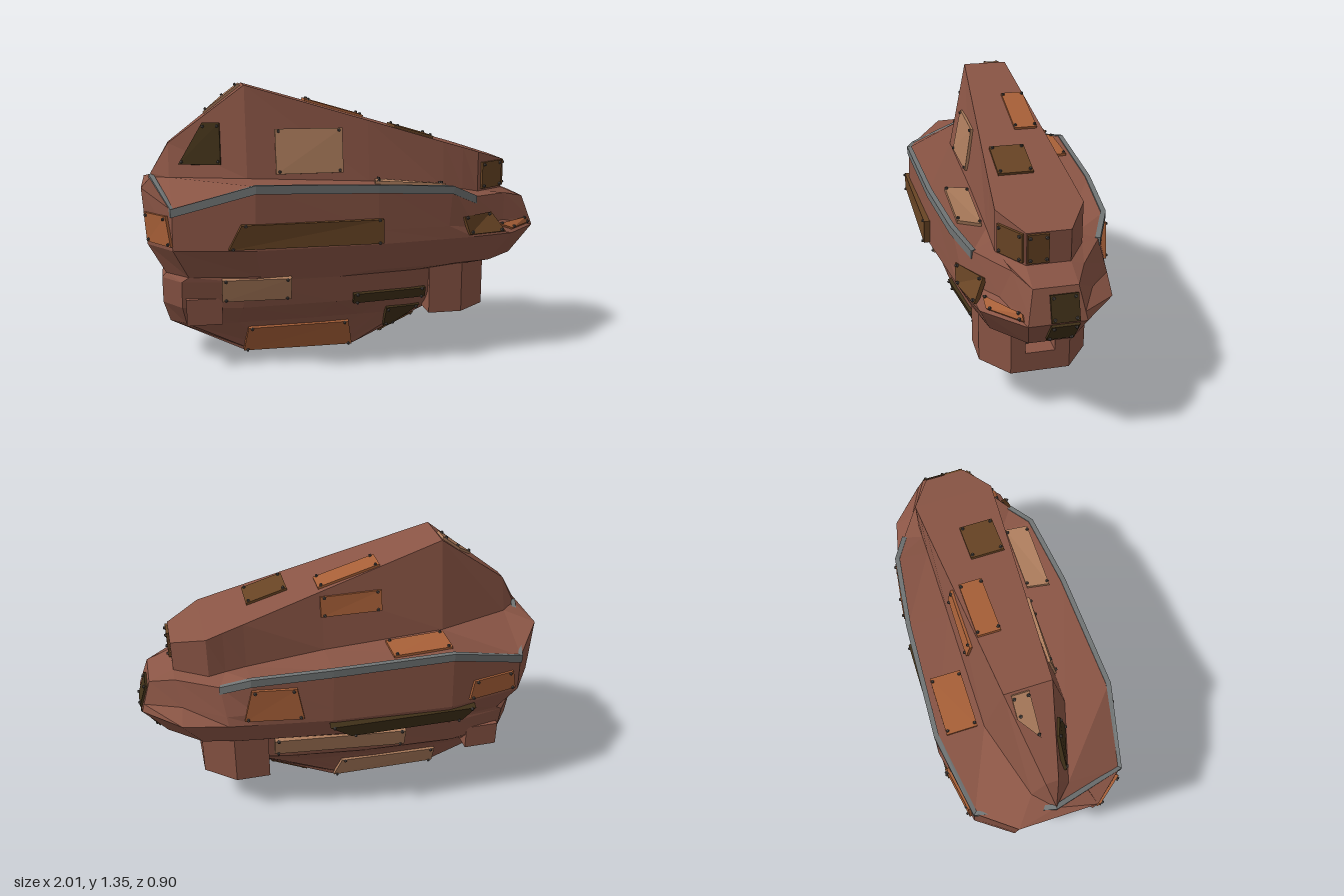
import * as THREE from 'three';

const HULL = 0x8a5545, ORANGE = 0xa86038, TAN = 0xac7c5c, BROWN = 0x684424, OLIVE = 0x403018;
const GREY = 0x707474, DARK = 0x2c3032, RIVET = 0x4a4440;
const V = (x, y, z) => new THREE.Vector3(x, y, z);
const mat = (color) => new THREE.MeshStandardMaterial({ color, flatShading: true, roughness: 0.9 });

// Mesh from a list of counter-clockwise quads
function quadMesh(name, quads, color) {
  const pts = quads.flatMap(([a, b, c, d]) => [a, b, c, a, c, d]);
  const g = new THREE.BufferGeometry().setFromPoints(pts);
  g.computeVertexNormals();
  const m = new THREE.Mesh(g, mat(color));
  m.name = name;
  return m;
}

// Half waterline from bow to stern: shared station spacing and fullness
const STATION = [0, 0.09, 0.2, 0.27, 0.45, 0.75, 0.94, 1];
const FULLNESS = [0, 0.55, 0.71, 0.77, 0.92, 1, 0.7, 0];
const waterline = (y, xBow, xStern, zBow, zMax, zStern) => STATION.map((t, i) =>
  V(THREE.MathUtils.lerp(xBow, xStern, t), y, THREE.MathUtils.lerp(i < 5 ? zBow : zStern, zMax, FULLNESS[i])));

const DECK_EDGE = [[0.94, 0.78, 0.1], [0.82, 0.81, 0.16], [0.62, 0.82, 0.29], [0.48, 0.885, 0.36],
  [0.1, 0.91, 0.405], [-0.48, 0.93, 0.43], [-0.86, 0.82, 0.36], [-1, 0.9, 0.19]].map((p) => V(...p));

// Cabin stations: x, base height, base half width, roof height, roof half width
const CABIN = [[0.82, 0.83, 0.1, 0.98, 0.1], [0.66, 0.83, 0.2, 1.03, 0.2], [0.58, 0.845, 0.2, 1.054, 0.194],
  [0.48, 0.86, 0.2, 1.083, 0.187], [0.1, 0.9, 0.2, 1.195, 0.157], [-0.5, 0.93, 0.2, 1.37, 0.11],
  [-0.87, 0.93, 0.09, 1.09, 0.03], [-0.96, 0.92, 0, 0.94, 0]];

function buildHull() {
  const knuckle = waterline(0.63, 0.99, -0.98, 0.13, 0.44, 0.2);
  const ledge = knuckle.map((p, i) => p.clone().lerp(DECK_EDGE[i], 0.25));
  ledge[1].set(0.8, 0.68, 0.21); // narrow step on the bow shoulder
  const halves = [
    waterline(0.03, 0.04, -0.53, 0.1, 0.1, 0.1),
    waterline(0.21, 0.42, -0.89, 0.1, 0.2, 0.1),
    waterline(0.32, 0.6, -0.92, 0.1, 0.31, 0.14),
    waterline(0.455, 0.62, -0.92, 0.1, 0.34, 0.17),
    waterline(0.48, 0.88, -0.9, 0.1, 0.35, 0.18),
    knuckle,
    ledge,
    DECK_EDGE,
    CABIN.map(([x, y, z]) => V(x, y, z)),
    CABIN.map(([x, , , y, z]) => V(x, y, z)),
  ];
  const loops = halves.map((h) => [...h, ...h.map((p) => V(p.x, p.y, -p.z)).reverse()]);
  const quads = [];
  for (let k = 0; k < loops.length - 1; k++) {
    for (let i = 0; i < 16; i++) {
      if (i === 7 && k >= 4 && k <= 6) continue; // stern opening
      const j = (i + 1) % 16, lo = loops[k], up = loops[k + 1];
      quads.push([lo[i], up[i], up[j], lo[j]]);
    }
  }
  const bottom = loops[0], roof = loops[9];
  for (let i = 0; i < 7; i++) {
    quads.push([roof[i], roof[15 - i], roof[14 - i], roof[i + 1]]);
    quads.push([bottom[i], bottom[i + 1], bottom[14 - i], bottom[15 - i]]);
  }
  // Stern recess walls run from the opening to a dark back plate
  const rim = [loops[4][7], loops[5][7], loops[7][7], loops[7][8], loops[5][8], loops[4][8]];
  const inner = rim.map((p) => V(-0.88, p.y * 0.9 + 0.07, p.z * 0.85));
  rim.forEach((p, i) => {
    const j = (i + 1) % 6;
    quads.push([p, rim[j], inner[j], inner[i]]);
  });
  const [a, b, c, d, e, f] = inner;
  return [quadMesh('hull', quads, HULL), quadMesh('sternRecessPlate', [[a, b, e, f], [b, c, d, e]], DARK)];
}

// Grey rail following the deck edge round the stern
function buildRail() {
  const half = DECK_EDGE.slice(2, 7);
  const path = [...half, V(-0.96, 0.93, 0), ...half.map((p) => V(p.x, p.y, -p.z)).reverse()];
  const last = path.length - 1;
  const rings = path.map((p, i) => {
    const t = path[Math.min(i + 1, last)].clone().sub(path[Math.max(i - 1, 0)]);
    const out = V(t.z, 0, -t.x).normalize();
    return [[0.01, -0.034], [0.01, 0.006], [-0.014, 0.006], [-0.014, -0.034]]
      .map(([o, y]) => p.clone().addScaledVector(out, o).add(V(0, y, 0)));
  });
  const quads = [rings[0], rings[last]];
  for (let i = 0; i < last; i++) {
    for (let k = 0; k < 4; k++) {
      const m = (k + 1) % 4;
      quads.push([rings[i][k], rings[i][m], rings[i + 1][m], rings[i + 1][k]]);
    }
  }
  const rail = quadMesh('deckRail', quads, GREY);
  rail.material.side = THREE.DoubleSide;
  return rail;
}

// Ray origin and direction for laying plates on each side of the hull
const SIDES = {
  left: [(u, v) => V(u, v, 3), V(0, 0, -1)],
  right: [(u, v) => V(u, v, -3), V(0, 0, 1)],
  top: [(u, v) => V(u, 3, v), V(0, -1, 0)],
  under: [(u, v) => V(u, -3, v), V(0, 1, 0)],
  bow: [(u, v) => V(3, v, u), V(-1, 0, 0)],
};

// Riveted trapezium dropped onto the hull; inA and inB pull in the corners of its second edge
function plate(hull, side, color, u0, v0, u1, v1, inA = 0, inB = 0) {
  const [origin, dir] = SIDES[side], ray = new THREE.Raycaster();
  const drop = ([u, v]) => {
    ray.set(origin(u, v), dir);
    return ray.intersectObject(hull)[0].point;
  };
  const group = new THREE.Group();
  group.name = side + 'Plate';
  const pts = [[u0, v0], [u1, v0], [u1 - inB, v1], [u0 + inA, v1]].map(drop);
  const n = pts[2].clone().sub(pts[0]).cross(pts[3].clone().sub(pts[1])).normalize();
  if (n.dot(dir) > 0) {
    pts.reverse();
    n.negate();
  }
  const centre = pts.reduce((s, p) => s.add(p), V(0, 0, 0)).multiplyScalar(0.25);
  // Lift clear of any bulge of the hull beneath
  const bulges = [0.2, 0.35, 0.5, 0.65, 0.8].map((t) =>
    drop([THREE.MathUtils.lerp(u0 + inA / 2, u1 - inB / 2, t), (v0 + v1) / 2]).sub(centre).dot(n));
  const lift = 0.012 + THREE.MathUtils.clamp(Math.max(...bulges), 0, 0.02);
  const outer = pts.map((p) => p.clone().addScaledVector(n, lift));
  const inner = pts.map((p) => p.clone().addScaledVector(n, -0.01));
  const quads = [outer];
  for (let i = 0; i < 4; i++) {
    const j = (i + 1) % 4;
    quads.push([inner[i], inner[j], outer[j], outer[i]]);
  }
  group.add(quadMesh('plate', quads, color));
  for (const p of outer) {
    const rivet = new THREE.Mesh(new THREE.CylinderGeometry(0.006, 0.009, 0.012, 6), mat(RIVET));
    rivet.name = 'rivet';
    rivet.quaternion.setFromUnitVectors(V(0, 1, 0), n);
    const inward = centre.clone().addScaledVector(n, lift).sub(p).normalize();
    rivet.position.copy(p).addScaledVector(inward, 0.02).addScaledVector(n, 0.003);
    group.add(rivet);
  }
  return group;
}

const LEFT_PLATES = [
  [OLIVE, -0.82, 0.99, -0.62, 1.19, 0.12],
  [TAN, -0.36, 0.945, -0.03, 1.16],
  [BROWN, -0.61, 0.64, 0.12, 0.755, 0.06],
  [BROWN, 0.57, 0.64, 0.77, 0.73, -0.03, 0.06],
  [ORANGE, -0.97, 0.65, -0.86, 0.79, -0.01, 0.02],
  [TAN, -0.64, 0.365, -0.31, 0.475],
  [OLIVE, 0, 0.31, 0.38, 0.36],
  [OLIVE, 0.19, 0.13, 0.24, 0.25, 0, -0.13],
  [BROWN, 0.68, 0.84, 0.81, 0.975],
];
const RIGHT_PLATES = [
  [ORANGE, 0.24, 0.66, 0.52, 0.83, 0.03, 0.04],
  [TAN, -0.29, 0.36, 0.37, 0.46],
  [OLIVE, -0.58, 0.5, 0, 0.61, -0.04, -0.12],
  [ORANGE, -0.84, 0.65, -0.58, 0.75, 0.02, 0.02],
  [ORANGE, -0.19, 1.07, 0.11, 1.17],
];
const TOP_PLATES = [
  [ORANGE, -0.49, -0.23, -0.2, -0.38],
  [ORANGE, -0.19, -0.02, 0.11, -0.13],
  [BROWN, 0.24, -0.03, 0.44, 0.135],
  [TAN, 0.12, 0.22, 0.47, 0.33, -0.02, 0.02],
  [TAN, -0.69, 0, -0.51, -0.08, 0.09],
];
const BOW_PLATES = [
  [BROWN, 0, 0.84, 0.095, 0.975],
  [OLIVE, -0.095, 0.635, 0.03, 0.75],
  [OLIVE, -0.095, 0.515, 0.03, 0.625],
  [ORANGE, 0.14, 0.64, 0.27, 0.665],
];

// Extruded bow pod layer, its half outline mirrored across z
function podLayer(name, half, y, height) {
  const outline = [...half, ...half.map(([x, z]) => [x, -z]).reverse()];
  const shape = new THREE.Shape(outline.map(([x, z]) => new THREE.Vector2(x, z)));
  const g = new THREE.ExtrudeGeometry(shape, { depth: height, bevelEnabled: false });
  const m = new THREE.Mesh(g.rotateX(-Math.PI / 2), mat(HULL));
  m.name = name;
  m.position.y = y;
  return m;
}

function box(name, size, at, color) {
  const m = new THREE.Mesh(new THREE.BoxGeometry(...size), mat(color));
  m.name = name;
  m.position.set(...at);
  return m;
}

export function createModel() {
  const model = new THREE.Group();
  model.name = 'armouredCraft';
  const [hull, recess] = buildHull();
  model.add(hull, recess, buildRail());

  // Patch plates
  for (const p of LEFT_PLATES) model.add(plate(hull, 'left', ...p));
  for (const p of RIGHT_PLATES) model.add(plate(hull, 'right', ...p));
  for (const p of TOP_PLATES) model.add(plate(hull, 'top', ...p));
  for (const p of BOW_PLATES) model.add(plate(hull, 'bow', ...p));
  for (const [side, color] of [['left', ORANGE], ['right', TAN]]) {
    model.add(plate(hull, side, color, -0.53, 0.035, 0.03, 0.18, 0.02, 0.03));
  }
  model.add(plate(hull, 'under', BROWN, 0.17, -0.09, 0.36, 0.09));

  // Bow pod with a notch in its front
  const flank = [[0.4, -0.26], [0.57, -0.26], [0.72, -0.14]];
  model.add(podLayer('podBase', flank, 0.22, 0.1));
  model.add(podLayer('podBlock', [...flank, [0.72, -0.07], [0.62, -0.07]], 0.32, 0.155));
  model.add(box('podRecessPlate', [0.02, 0.16, 0.14], [0.63, 0.4, 0], DARK));

  // Side boxes near the stern
  for (const s of [1, -1]) model.add(box('sternSideBox', [0.17, 0.13, 0.13], [-0.725, 0.305, s * 0.235], HULL));
  return model;
}
